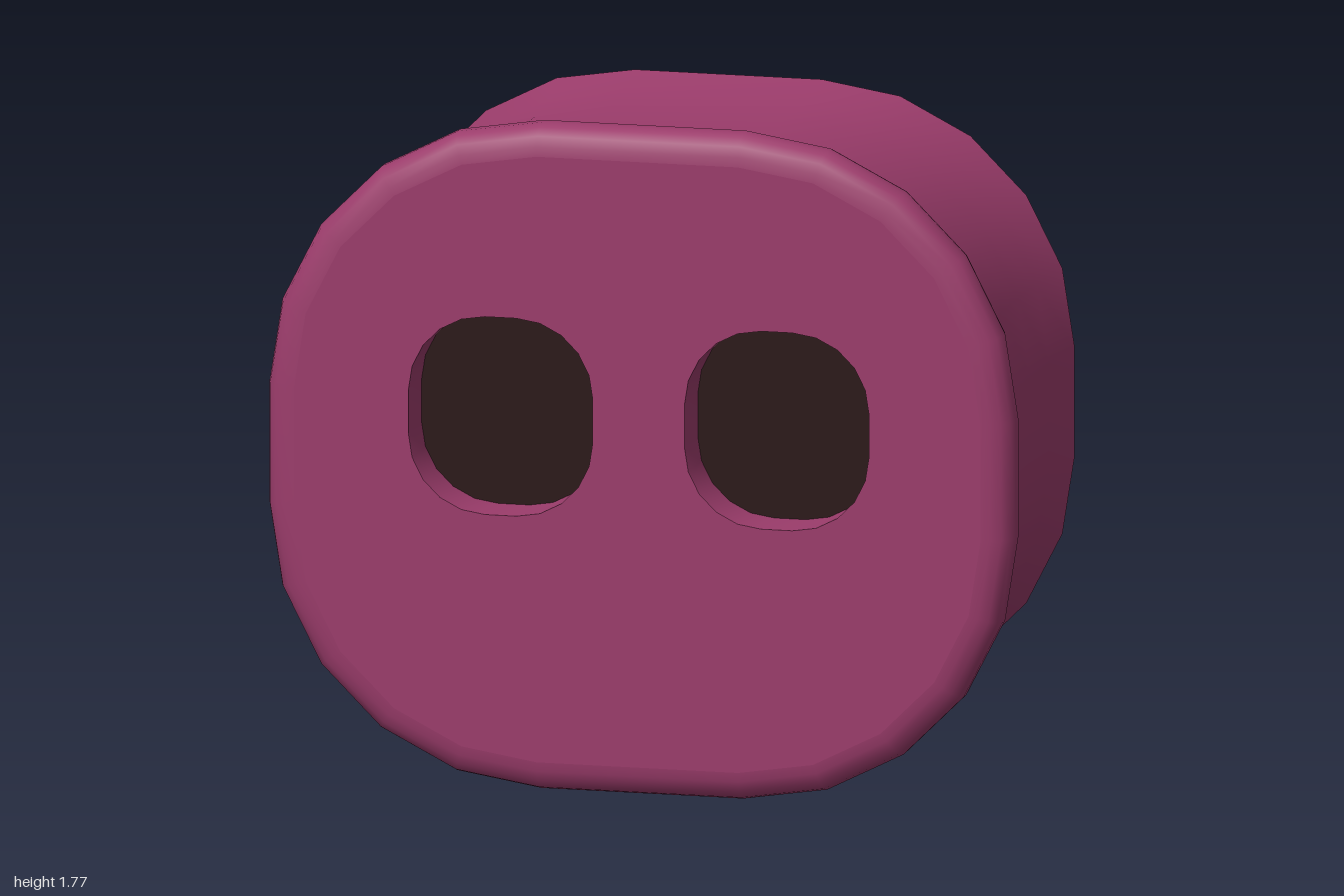
import * as THREE from 'three';

const CORNER_STEPS = 5;

// Rounded rectangle as counter-clockwise points, seen from +z
function outline(hx, hy, r, cx = 0, cy = 0) {
  const pts = [];
  [[1, 1], [-1, 1], [-1, -1], [1, -1]].forEach(([sx, sy], q) => {
    for (let i = 0; i <= CORNER_STEPS; i++) {
      const a = (q + i / CORNER_STEPS) * Math.PI / 2;
      pts.push(new THREE.Vector2(
        cx + sx * (hx - r) + r * Math.cos(a),
        cy + sy * (hy - r) + r * Math.sin(a)));
    }
  });
  return pts;
}

// Smooth skin over rings of { pts, z }; faces outward when z falls, inward when it rises
function loft(rings) {
  const n = rings[0].pts.length, pos = [], index = [];
  rings.forEach(({ pts, z }) => pts.forEach(p => pos.push(p.x, p.y, z)));
  for (let i = 0; i < rings.length - 1; i++) {
    for (let j = 0; j < n; j++) {
      const a = i * n + j, b = i * n + (j + 1) % n;
      index.push(a, a + n, b, b, a + n, b + n);
    }
  }
  const g = new THREE.BufferGeometry();
  g.setAttribute('position', new THREE.Float32BufferAttribute(pos, 3));
  g.setIndex(index);
  g.computeVertexNormals();
  return g;
}

export function createModel() {
  const group = new THREE.Group();
  const pink = new THREE.MeshStandardMaterial({ color: 0x9b3c6b });
  const dark = new THREE.MeshStandardMaterial({ color: 0x2a1615 });
  const add = (name, geometry, material = pink) => {
    const mesh = new THREE.Mesh(geometry, material);
    mesh.name = name;
    group.add(mesh);
    return mesh;
  };

  const HX = 1, HY = 0.885, R = 0.73, CY = 0.8875;
  const FRONT = 0.487, FLOOR = 0.345;
  const rimRing = d => outline(HX - d, HY - d, R - d, 0, CY);
  const bodyRing = s => outline(HX * s, HY * s, R * s, 0, 0.9);
  const nostril = side => outline(0.247, 0.263, 0.205, side * 0.37 + 0.004, 0.997);

  // Front plate with two nostril openings
  const face = new THREE.Shape(rimRing(0.08));
  [-1, 1].forEach(s => face.holes.push(new THREE.Path(nostril(s))));
  add('frontPlate', new THREE.ShapeGeometry(face).translate(0, 0, FRONT));

  // Rounded rim: [inset, z] from the front edge round to the back
  const rimProfile = [[0.08, FRONT], [0.055, 0.484], [0.028, 0.474], [0.008, 0.455], [0, 0.43],
    [0, 0.4], [0.008, 0.372], [0.024, 0.352], [0.045, 0.342], [0.07, 0.34], [0.13, 0.34]];
  add('rim', loft(rimProfile.map(([d, z]) => ({ pts: rimRing(d), z }))));

  // Waisted body flaring to the back: [scale, z]
  const bodyProfile = [[0.908, 0.345], [0.895, 0.17], [0.887, 0], [0.886, -0.17], [0.898, -0.33], [0.928, -0.488]];
  add('body', loft(bodyProfile.map(([s, z]) => ({ pts: bodyRing(s), z }))));

  // Flat back
  const back = new THREE.ShapeGeometry(new THREE.Shape(bodyRing(0.928)));
  add('backPlate', back.rotateY(Math.PI).translate(0, 0, -0.488));

  // Nostril walls and dark floors
  for (const side of [-1, 1]) {
    const prefix = side > 0 ? 'left' : 'right', pts = nostril(side);
    add(prefix + 'NostrilWall', loft([{ pts, z: FLOOR }, { pts, z: FRONT }]));
    add(prefix + 'NostrilFloor', new THREE.ShapeGeometry(new THREE.Shape(pts)).translate(0, 0, FLOOR), dark);
  }
  return group;
}
